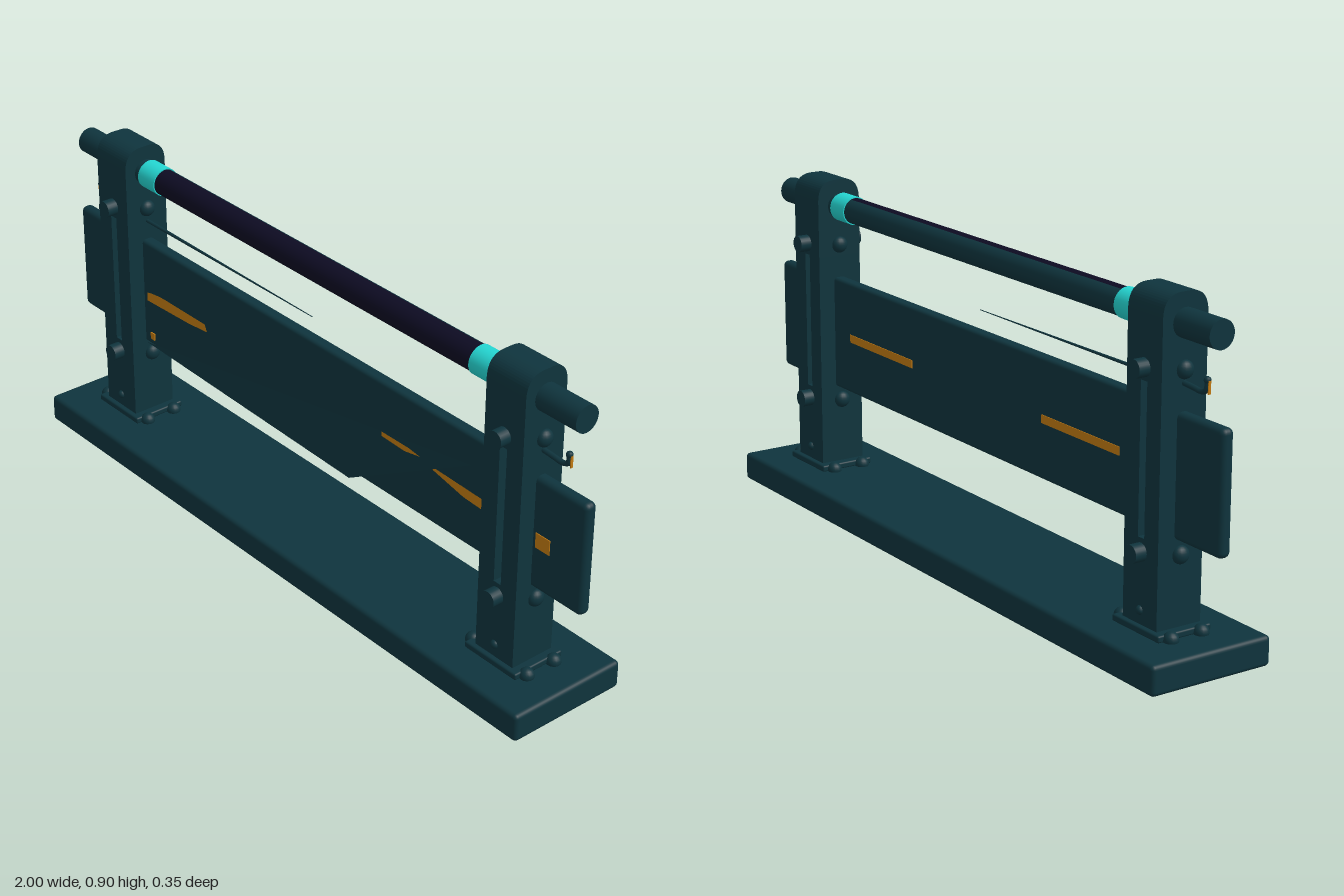
import * as THREE from 'three';
import { RoundedBoxGeometry } from 'three/addons/geometries/RoundedBoxGeometry.js';

const mat = (name, color, side = THREE.FrontSide) => {
  const m = new THREE.MeshStandardMaterial({ color, side });
  m.name = name;
  return m;
};

export function createModel() {
  const model = new THREE.Group();
  const teal = mat('dark teal', 0x0f343d, THREE.DoubleSide);
  const navy = mat('navy', 0x0d0b22);
  const cyan = mat('cyan', 0x24d6d2);
  const amber = mat('amber', 0xc27a12, THREE.DoubleSide);

  const add = (name, geo, material, x = 0, y = 0, z = 0, parent = model) => {
    const m = new THREE.Mesh(geo, material);
    m.name = name;
    m.position.set(x, y, z);
    parent.add(m);
    return m;
  };
  const box = (w, h, d, r = 0) => r ? new RoundedBoxGeometry(w, h, d, 3, r) : new THREE.BoxGeometry(w, h, d);
  // Cylinders along x or z
  const rodX = (r, len, start = 0, arc = Math.PI * 2, open = false) =>
    new THREE.CylinderGeometry(r, r, len, 32, 1, open, start, arc).rotateZ(Math.PI / 2);
  const rodZ = (r, len) => new THREE.CylinderGeometry(r, r, len, 24).rotateX(Math.PI / 2);

  // Base plank
  add('base', box(1.93, 0.078, 0.35, 0.012), teal, 0, 0.039, 0);

  // Panel between the posts
  add('panel', box(1.44, 0.315, 0.036, 0.01), teal, 0, 0.472, 0);

  // Twisted fold across the panel's front
  const fold = new THREE.BufferGeometry();
  fold.setAttribute('position', new THREE.Float32BufferAttribute(
    [-0.7, 0.314, 0.019, 0.2, 0.318, 0.045, 0.62, 0.55, 0.02], 3));
  fold.computeVertexNormals();
  add('panelFold', fold, teal);

  // Rounded post head, drawn in z-y and extruded along x
  const head = new THREE.Shape();
  head.moveTo(-0.065, 0.69);
  head.lineTo(0.065, 0.69);
  head.lineTo(0.065, 0.85);
  head.quadraticCurveTo(0.063, 0.903, 0.015, 0.905);
  head.lineTo(-0.015, 0.905);
  head.quadraticCurveTo(-0.063, 0.903, -0.065, 0.85);
  head.closePath();
  const headGeo = new THREE.ExtrudeGeometry(head, { depth: 0.13, bevelEnabled: false, curveSegments: 12 });
  headGeo.translate(0, 0, -0.065).rotateY(-Math.PI / 2);

  for (const s of [-1, 1]) {
    const post = new THREE.Group();
    post.name = s > 0 ? 'leftPost' : 'rightPost';
    post.position.x = s * 0.77;
    model.add(post);
    const put = (name, geo, m, x, y, z) => add(name, geo, m, s * x, y, z, post);

    // Slotted upright
    put('postHead', headGeo, teal, 0, 0, 0);
    put('postFoot', box(0.13, 0.23, 0.13), teal, 0, 0.195, 0);
    for (const c of [-1, 1]) put('postCheek', box(0.053, 0.38, 0.13), teal, c * 0.0385, 0.5, 0);

    // Foot flange with bolts
    put('flange', box(0.18, 0.018, 0.158, 0.005), teal, 0, 0.086, 0);
    for (const x of [-0.095, 0.095]) for (const z of [-0.045, 0.045])
      put('flangeBolt', new THREE.SphereGeometry(0.02, 16, 10), teal, x, 0.083, z);
    for (const z of [-0.063, 0.063])
      put('footStud', new THREE.SphereGeometry(0.012, 12, 8), teal, 0, 0.13, z);

    // Clamp bolts through the post
    for (const y of [0.275, 0.722]) {
      put('clampBolt', rodZ(0.023, 0.192), teal, 0, y, 0);
      for (const x of [-0.066, 0.066])
        put('sideStud', new THREE.SphereGeometry(0.023, 16, 12).scale(0.8, 1, 1), teal, x, y, 0);
    }

    // Outer panel wing
    put('panelWing', box(0.19, 0.31, 0.036, 0.015), teal, 0.135, 0.467, 0);

    // Hook on the outer side
    const curve = new THREE.CatmullRomCurve3([
      [0.06, 0.69], [0.10, 0.687], [0.13, 0.685], [0.146, 0.693], [0.148, 0.713],
    ].map(([x, y]) => new THREE.Vector3(s * x, y, 0)));
    add('hook', new THREE.TubeGeometry(curve, 20, 0.007, 8), teal, 0, 0, 0, post);
    put('hookTip', new THREE.SphereGeometry(0.009, 12, 8), teal, 0.148, 0.716, 0);
    put('hookAccent', box(0.003, 0.032, 0.007), amber, 0.1555, 0.7, 0);

    // Bar end and sleeve
    put('barEnd', rodX(0.036, 0.15), teal, 0.12, 0.832, 0);
    put('innerCollar', rodX(0.034, 0.06), teal, -0.08, 0.832, 0);
    put('sleeve', rodX(0.039, 0.07), cyan, -0.12, 0.832, 0);

    // Amber inlays on both faces
    const inlay = new THREE.Shape();
    inlay.moveTo(0.69, 0.45);
    inlay.lineTo(0.69, 0.475);
    inlay.quadraticCurveTo(0.64, 0.487, 0.58, 0.485);
    inlay.lineTo(0.43, 0.485);
    inlay.lineTo(0.42, 0.465);
    inlay.lineTo(0.5, 0.457);
    inlay.closePath();
    if (s < 0) {
      add('frontInlay', new THREE.ShapeGeometry(inlay).scale(-1, 1, 1), amber, 0, 0, 0.0195);
    } else {
      const streak = new THREE.Shape();
      [[0.3, 0.495], [0.4, 0.495], [0.5, 0.483], [0.66, 0.478], [0.69, 0.465], [0.69, 0.447], [0.6, 0.452], [0.49, 0.475], [0.3, 0.482]]
        .forEach(([x, y], i) => i ? streak.lineTo(x, y) : streak.moveTo(x, y));
      add('frontInlay', new THREE.ShapeGeometry(streak), amber, 0, 0, 0.0245);
    }
    add('backInlay', box(0.32, 0.022, 0.004), amber, s * 0.46, 0.473, -0.018);
    put('wingInlay', box(0.048, 0.042, 0.004, 0.0015), amber, 0.097, 0.452, 0.018);
    add('inlayDot', box(0.018, 0.02, 0.004), amber, s * 0.67, 0.345, 0.0195);
  }

  // Top bar: navy front half, teal back half
  const front = Math.PI * 0.62;
  const halfBar = (name, from, to, m) => {
    const g = new THREE.CylinderGeometry(0.036, 0.036, 1.24, 24, 1, true, from, to - from).rotateZ(Math.PI / 2);
    add(name, g, m, 0, 0.832, 0);
  };
  // After rotation, angle 0 faces +z and angle pi/2 faces up
  halfBar('barFront', -Math.PI / 2, front, navy);
  halfBar('barBack', front, Math.PI * 1.5, teal);

  // Thin tapering needle from the right post
  add('needle', new THREE.CylinderGeometry(0.001, 0.005, 0.71, 8).rotateZ(-Math.PI / 2), teal, -0.355, 0.684, 0);

  return model;
}
